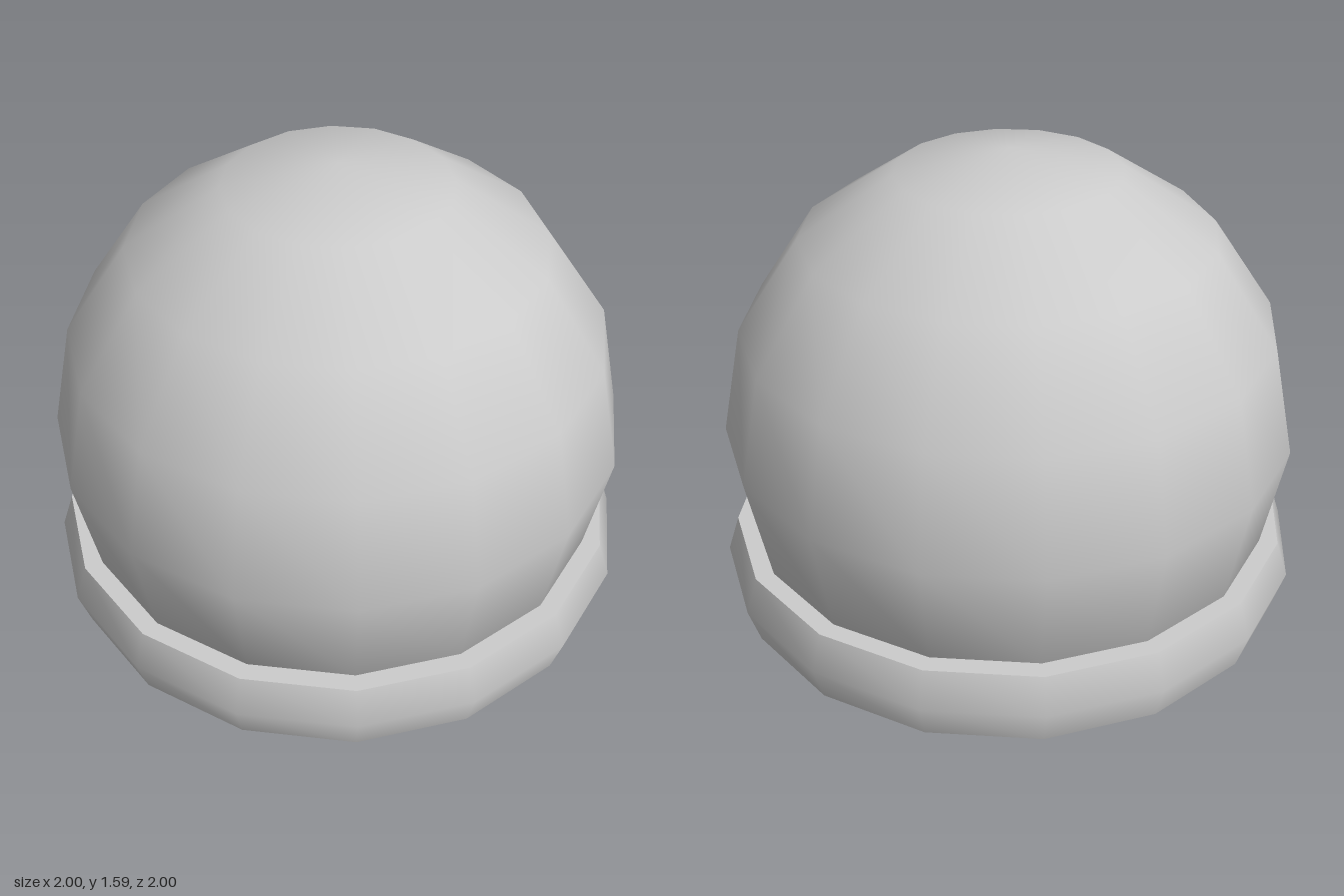
import * as THREE from 'three';

const SIDES = 16;
const BASE_HEIGHT = 0.25;
const RIM_RADIUS = 0.96;

export function createModel() {
  const group = new THREE.Group();
  const material = new THREE.MeshStandardMaterial({ color: 0xcccccc });

  const add = (name, geometry, y = 0, tilt = 0) => {
    const mesh = new THREE.Mesh(geometry, material);
    mesh.name = name;
    mesh.position.y = y;
    mesh.rotation.x = tilt;
    group.add(mesh);
  };

  // Dome: smooth low-poly sphere, cut at the ring that meets the base
  add('dome', new THREE.SphereGeometry(0.97, SIDES, 5, 0, Math.PI * 2, 0, Math.PI * 5 / 8), 0.62);

  // Base band: bulges outward at mid height
  const profile = [
    new THREE.Vector2(RIM_RADIUS, 0),
    new THREE.Vector2(1, BASE_HEIGHT / 2),
    new THREE.Vector2(RIM_RADIUS, BASE_HEIGHT),
  ];
  add('baseBand', new THREE.LatheGeometry(profile, SIDES));

  // Flat faces of the base, separate so the edges stay sharp
  const disc = new THREE.CircleGeometry(RIM_RADIUS, SIDES);
  add('baseTop', disc, BASE_HEIGHT, -Math.PI / 2);
  add('baseBottom', disc, 0, Math.PI / 2);

  return group;
}
